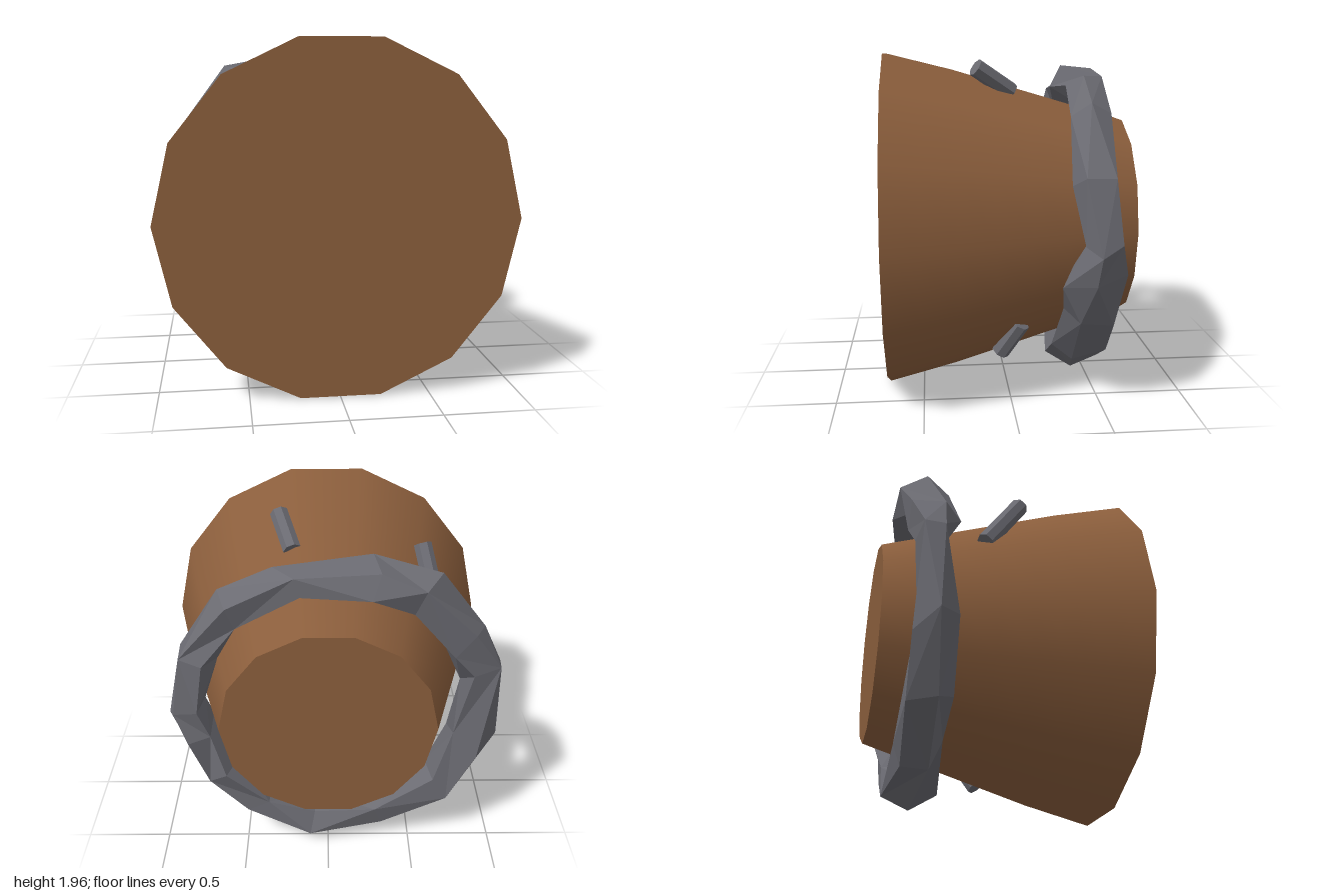
import * as THREE from 'three';

const CY = 0.99; // height of the trunk axis

export function createModel() {
  const model = new THREE.Group();
  const bark = new THREE.MeshStandardMaterial({ color: 0x8b5e3c });
  bark.name = 'brown bark';
  const stone = new THREE.MeshStandardMaterial({ color: 0x6b6b72, flatShading: true });
  stone.name = 'dark grey';

  const add = (name, geometry, material) => {
    const mesh = new THREE.Mesh(geometry, material);
    mesh.name = name;
    model.add(mesh);
    return mesh;
  };

  // Trunk: smooth 14-sided frustum along z with a slight bend in its taper
  const trunk = new THREE.CylinderGeometry(1, 0.6, 1.4, 14, 7, false, Math.PI / 2);
  const tp = trunk.attributes.position;
  for (let i = 0; i < tp.count; i++) {
    const h = tp.getY(i);
    const straight = 0.6 + 0.4 * (h + 0.7) / 1.4;
    const bent = h > 0.3 ? 0.9 + (h - 0.3) * 0.25 : 0.6 + (h + 0.7) * 0.3;
    tp.setX(i, tp.getX(i) * bent / straight);
    tp.setZ(i, tp.getZ(i) * bent / straight);
  }
  trunk.rotateX(Math.PI / 2);
  trunk.translate(0, CY, 0);
  add('trunk', trunk, bark);

  // Rough ring: [angle, inner radius, outer radius, front z, back z]
  const sections = [
    [0, 0.70, 0.91, -0.37, -0.57],
    [25, 0.69, 0.90, -0.31, -0.56],
    [50, 0.70, 0.92, -0.32, -0.54],
    [75, 0.72, 0.90, -0.36, -0.58],
    [103, 0.72, 0.94, -0.32, -0.63],
    [126, 0.77, 1.02, -0.34, -0.62],
    [147, 0.74, 0.98, -0.31, -0.60],
    [164, 0.76, 1.01, -0.38, -0.56],
    [196, 0.72, 1.00, -0.33, -0.56],
    [218, 0.74, 0.99, -0.32, -0.58],
    [246, 0.70, 0.93, -0.32, -0.57],
    [274, 0.75, 0.98, -0.28, -0.58],
    [300, 0.71, 0.90, -0.27, -0.58],
    [325, 0.66, 0.88, -0.29, -0.60],
    [345, 0.68, 0.88, -0.26, -0.60],
  ];
  let seed = 11;
  const random = () => (seed = (seed * 16807) % 2147483647) / 2147483647;
  const SIDES = 5;
  const rings = sections.map(([deg, inner, outer, front, back], i) => {
    const points = [];
    for (let j = 0; j < SIDES; j++) {
      const phi = (j / SIDES) * Math.PI * 2 + 0.3 * Math.sin(i * 2.1) + 0.3;
      const a = THREE.MathUtils.degToRad(deg + (random() - 0.5) * 8);
      const k = 1.02 + random() * 0.1;
      const r = (inner + outer) / 2 + k * (outer - inner) / 2 * Math.cos(phi);
      const z = (front + back) / 2 + k * (front - back) / 2 * Math.sin(phi);
      points.push([r * Math.cos(a), CY + r * Math.sin(a), z]);
    }
    return points;
  });
  const verts = [];
  rings.forEach((ring, i) => {
    const next = rings[(i + 1) % rings.length];
    for (let j = 0; j < SIDES; j++) {
      const k = (j + 1) % SIDES;
      const [a, b, c, d] = [ring[j], next[j], next[k], ring[k]];
      verts.push(...((i + j) % 2 ? [a, b, c, a, c, d] : [a, b, d, b, c, d]).flat());
    }
  });
  const ringGeometry = new THREE.BufferGeometry();
  ringGeometry.setAttribute('position', new THREE.Float32BufferAttribute(verts, 3));
  ringGeometry.computeVertexNormals();
  add('roughRing', ringGeometry, stone);

  // Pegs leaning forward out of the trunk: base point, outer end
  const pegs = [
    [[0.2, 1.75, -0.03], [0.28, 1.89, 0.18]],
    [[-0.64, 1.39, -0.14], [-0.55, 1.73, 0.09]],
    [[0.57, 0.48, -0.05], [0.5, 0.29, 0.06]],
  ];
  pegs.forEach(([from, to], i) => {
    const base = new THREE.Vector3(...from);
    const end = new THREE.Vector3(...to);
    const axis = end.clone().sub(base);
    const peg = add('peg' + (i + 1), new THREE.CylinderGeometry(0.053, 0.053, axis.length(), 7), stone);
    peg.position.copy(base).add(end).multiplyScalar(0.5);
    peg.quaternion.setFromUnitVectors(new THREE.Vector3(0, 1, 0), axis.normalize());
  });

  return model;
}
